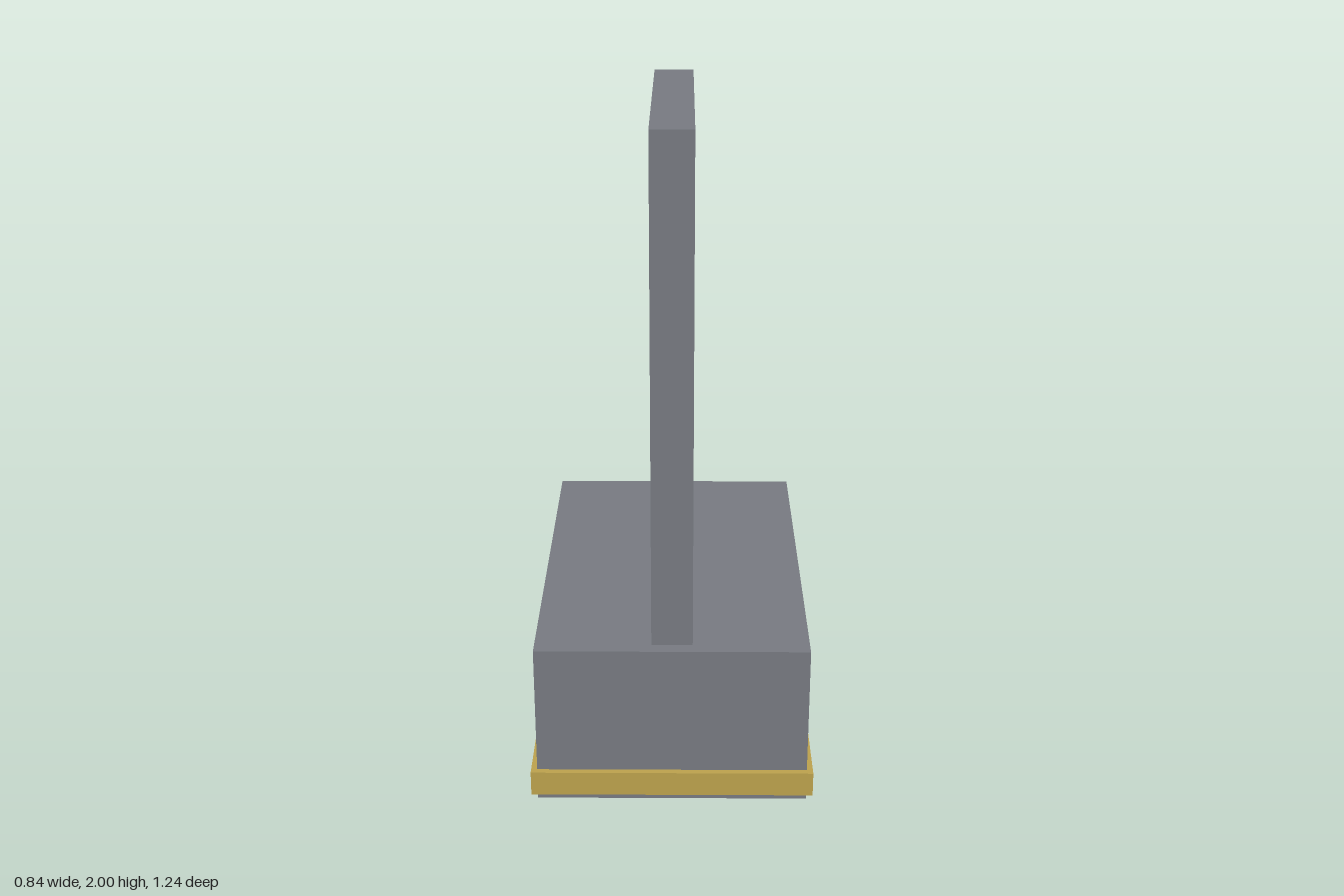
import * as THREE from 'three';

export function createModel() {
  const group = new THREE.Group();
  const grey = new THREE.MeshStandardMaterial({ color: 0x767980 });
  grey.name = 'slate grey';
  const gold = new THREE.MeshStandardMaterial({ color: 0xbaa04c });
  gold.name = 'ochre gold';

  function add(name, geometry, material, y = 0) {
    const mesh = new THREE.Mesh(geometry, material);
    mesh.name = name;
    mesh.position.y = y;
    group.add(mesh);
  }

  // Solid block at the bottom
  add('base', new THREE.BoxGeometry(0.8, 0.5, 1.2), grey, 0.25);

  // Trim band around the lower edge of the base
  add('trimBand', new THREE.BoxGeometry(0.836, 0.076, 1.236), gold, 0.062);

  // Upright post and horizontal arm as one L-shaped bar, profile in (z, y)
  const w = 0.12, front = 0.56, back = -0.35;
  const profile = new THREE.Shape([
    [front, 0.5], [front, 2], [back, 2], [back, 2 - w], [front - w, 2 - w], [front - w, 0.5],
  ].map(([z, y]) => new THREE.Vector2(z, y)));
  const bar = new THREE.ExtrudeGeometry(profile, { depth: w, bevelEnabled: false });
  bar.translate(0, 0, -w / 2).rotateY(-Math.PI / 2);
  add('postAndArm', bar, grey);

  return group;
}
